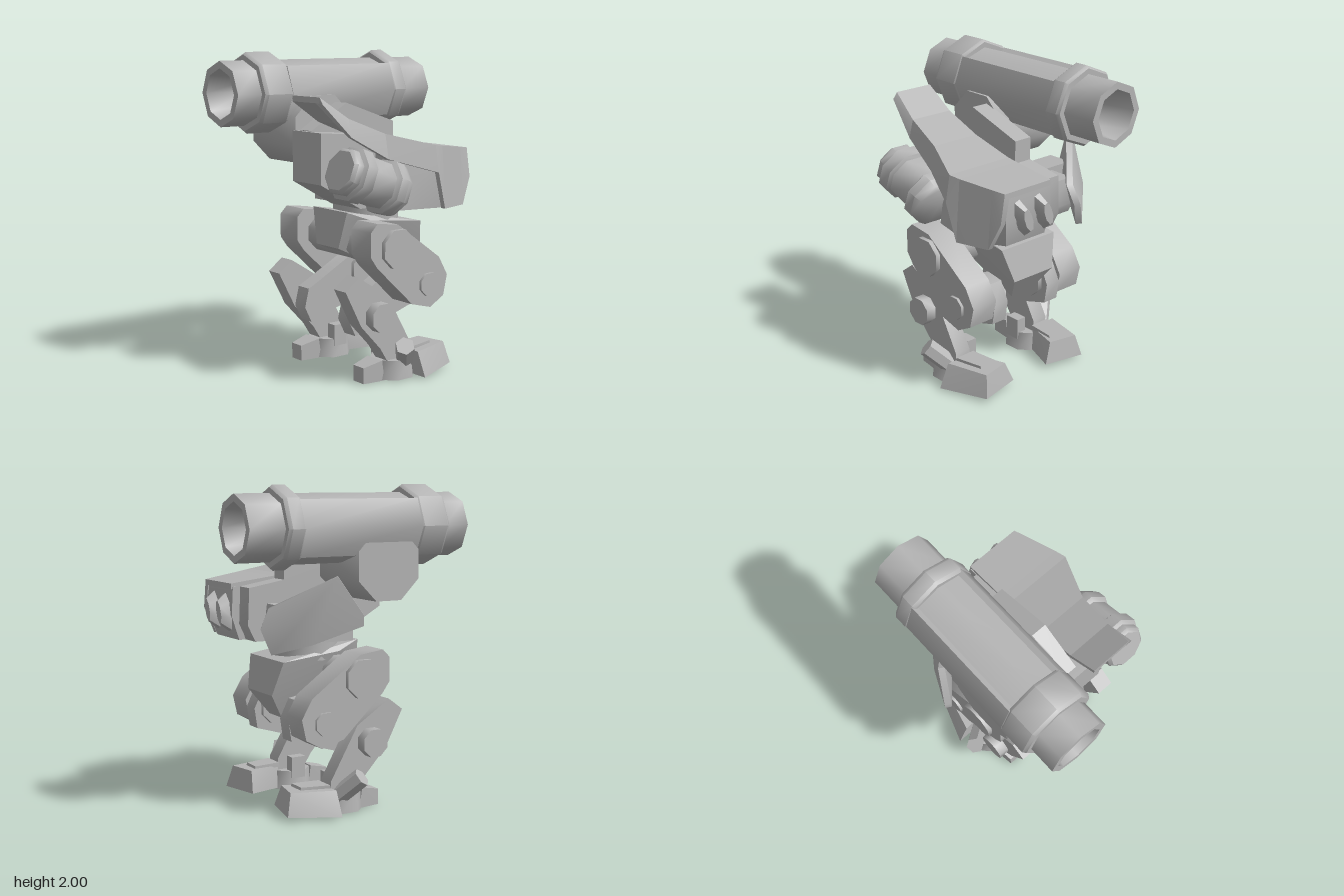
import * as THREE from 'three';
import { ConvexGeometry } from 'three/addons/geometries/ConvexGeometry.js';
import { toCreasedNormals } from 'three/addons/utils/BufferGeometryUtils.js';

export function createModel() {
  const root = new THREE.Group();
  const grey = new THREE.MeshStandardMaterial({ color: 0xb4b4b4 });
  grey.name = 'grey metal';

  // Mesh with soft octagon sides and sharp corners
  function add(parent, name, geo) {
    const m = new THREE.Mesh(toCreasedNormals(geo, 0.8), grey);
    m.name = name;
    parent.add(m);
    return m;
  }
  function group(parent, name) {
    const g = new THREE.Group();
    g.name = name;
    parent.add(g);
    return g;
  }
  const shape = (pts) => new THREE.Shape(pts.map(([a, b]) => new THREE.Vector2(a, b)));
  // Side profile of [z, y] points, extruded between two x values
  function slab(pts, xa, xb) {
    const lo = Math.min(xa, xb), hi = Math.max(xa, xb);
    const g = new THREE.ExtrudeGeometry(shape(pts), { depth: hi - lo, bevelEnabled: false });
    return g.rotateY(-Math.PI / 2).translate(hi, 0, 0);
  }
  // Flat-topped octagonal pin along x
  function pin(xa, xb, y, z, r) {
    const g = new THREE.CylinderGeometry(r, r, Math.abs(xb - xa), 8).rotateY(Math.PI / 8);
    return g.rotateZ(Math.PI / 2).translate((xa + xb) / 2, y, z);
  }
  const hull = (pts) => new ConvexGeometry(pts.map((p) => new THREE.Vector3(...p)));
  const mirror = (pts) => pts.flatMap(([x, y, z]) => [[x, y, z], [-x, y, z]]);
  const box = (x0, x1, y0, y1, z0, z1) => new THREE.BoxGeometry(x1 - x0, y1 - y0, z1 - z0)
    .translate((x0 + x1) / 2, (y0 + y1) / 2, (z0 + z1) / 2);
  const lathe = (pts, n) => new THREE.LatheGeometry(pts.map(([r, y]) => new THREE.Vector2(r, y)), n);

  // Shoulder cannon: hollow octagonal ends with collars, and a panelled middle
  const cannon = group(root, 'cannon');
  cannon.position.set(-0.295, 1.75, 0);
  add(cannon, 'rearBarrel', lathe([
    [0, -0.5], [0.11, -0.5], [0.155, -0.76], [0.2, -0.76], [0.2, -0.53], [0.235, -0.53],
    [0.25, -0.51], [0.25, -0.43], [0.235, -0.41], [0, -0.41]], 8).rotateX(Math.PI / 2));
  add(cannon, 'frontBarrel', lathe([
    [0, 0.38], [0.235, 0.38], [0.25, 0.4], [0.25, 0.57], [0.235, 0.59], [0.2, 0.59],
    [0.2, 0.76], [0.155, 0.76], [0.11, 0.5], [0, 0.5]], 8).rotateX(Math.PI / 2));
  add(cannon, 'cannonBody', new THREE.ExtrudeGeometry(shape([
    [0.245, 0], [0.18, 0.168], [0.15, 0.15], [0, 0.2], [-0.15, 0.15], [-0.18, 0.168],
    [-0.245, 0], [-0.172, -0.168], [0, -0.22], [0.172, -0.168]]),
  { depth: 0.82, bevelEnabled: false }).translate(0, 0, -0.43));
  add(root, 'cannonMount', pin(-0.5, -0.04, 1.52, 0.17, 0.232));

  // Torso
  const torso = group(root, 'torso');
  add(torso, 'core', slab([
    [0.4, 1.53], [0.4, 1.22], [0.1, 1.05], [-0.5, 1.05], [-0.55, 1.15], [-0.54, 1.38],
    [-0.3, 1.42], [0, 1.5]], -0.05, 0.235));
  add(torso, 'coreFin', slab([
    [0.35, 1.53], [0.08, 1.69], [-0.3, 1.56], [-0.3, 1.3], [0.3, 1.3]], -0.05, 0.075));
  add(torso, 'rightHull', slab([
    [0.05, 1.24], [0.05, 1.05], [-0.4, 1.05], [-0.44, 1.12], [-0.42, 1.28], [-0.2, 1.28]], -0.29, -0.05));
  add(torso, 'leftHull', hull([
    [0.2, 1.05, -0.02], [0.43, 1.05, -0.02], [0.2, 1.38, -0.02], [0.38, 1.38, -0.02],
    [0.5, 1.05, -0.32], [0.5, 1.38, -0.32], [0.07, 1.05, -0.55], [0.38, 1.05, -0.55],
    [0.07, 1.2, -0.6], [0.43, 1.22, -0.6], [0.07, 1.38, -0.59], [0.42, 1.38, -0.59], [0.07, 1.38, -0.3]]));
  for (const x of [0.14, 0.3]) {
    add(torso, 'exhaust', new THREE.CylinderGeometry(0.045, 0.075, 0.06, 8).rotateY(Math.PI / 8)
      .rotateX(-Math.PI / 2).scale(0.7, 1.7, 1).rotateZ(-0.35).translate(x, 1.22, -0.625));
  }

  // Left shoulder armour: stations of z, top y, outer x, lower y
  const armour = group(torso, 'leftArmour');
  const st = [[0.49, 1.75, 0.34, 1.71], [0.3, 1.62, 0.37, 1.51], [0.05, 1.52, 0.41, 1.37],
    [-0.24, 1.445, 0.54, 1.28], [-0.31, 1.435, 0.525, 1.05], [-0.52, 1.41, 0.465, 1.05],
    [-0.6, 1.4, 0.44, 1.22]];
  const t = 0.035;
  for (let i = 0; i + 1 < st.length; i++) {
    const pair = [st[i], st[i + 1]];
    add(armour, 'armourRoof', hull(pair.flatMap(([z, y, x]) =>
      [[0.075, y, z], [x, y, z], [0.075, y - t, z], [x, y - t, z]])));
    add(armour, 'armourWall', hull(pair.flatMap(([z, y, x, b]) =>
      [[x, y, z], [x - t, y - t, z], [x + 0.03, b, z], [x + 0.03 - t, b, z]])));
  }

  // Right rear skirt: one tall slanted plate on a bracket
  const skirt = group(torso, 'rightSkirt');
  const plate = [[-0.22, 1.27, -0.5], [-0.23, 1.15, -0.56], [-0.29, 1, -0.52], [-0.47, 1.07, -0.34],
    [-0.42, 1.2, -0.4], [-0.6, 1.18, -0.07], [-0.6, 1.24, -0.07], [-0.52, 1.47, -0.2]];
  add(skirt, 'skirtPlate', hull(plate.flatMap(([x, y, z]) => [[x, y, z], [x + 0.035, y, z + 0.02]])));
  add(skirt, 'skirtBracket', box(-0.45, -0.2, 1.18, 1.3, -0.25, -0.08));

  // Left arm pod, tilted nose up
  const pod = add(root, 'armPod', lathe([
    [0, -0.235], [0.13, -0.235], [0.155, -0.215], [0.175, -0.17], [0.175, -0.11], [0.148, -0.09],
    [0.148, 0.07], [0.17, 0.085], [0.17, 0.16], [0.145, 0.175], [0.145, 0.215], [0.125, 0.235],
    [0, 0.235]], 8).rotateY(Math.PI / 8).rotateX(Math.PI / 2));
  pod.position.set(0.435, 1.25, 0.2);
  pod.rotation.x = -0.36;
  add(root, 'podMount', pin(0.2, 0.43, 1.25, 0.16, 0.09));

  // Lower body: waist, pelvis and hip axle, set slightly to the left
  const lower = group(root, 'lowerBody');
  lower.position.x = 0.035;
  add(lower, 'waist', new THREE.CylinderGeometry(0.21, 0.21, 0.14, 12).translate(0, 0.99, -0.11));
  add(lower, 'pelvis', hull(mirror([
    [0.17, 1.03, 0.18], [0.11, 0.8, 0.2], [0.21, 0.97, 0.02], [0.22, 0.93, -0.38],
    [0.16, 0.72, -0.43], [0.08, 0.56, -0.32]])));
  add(lower, 'hipAxle', pin(-0.4, 0.4, 0.835, 0.03, 0.12));

  // Legs
  for (const s of [1, -1]) {
    const leg = group(lower, s > 0 ? 'leftLeg' : 'rightLeg');
    const part = (name, pts, a, b) => add(leg, name, slab(pts, s * a, s * b));
    const joint = (name, a, b, y, z, r) => add(leg, name, pin(s * a, s * b, y, z, r));
    const block = (name, pts) => add(leg, name, hull(pts.map(([x, y, z]) => [s * x, y, z])));
    part('thigh', [[0.23, 0.95], [0.18, 1], [0.02, 0.98], [-0.32, 0.74], [-0.39, 0.62],
      [-0.36, 0.49], [-0.25, 0.43], [-0.1, 0.47], [0.18, 0.73], [0.23, 0.8]], 0.275, 0.46);
    joint('hipCap', 0.45, 0.49, 0.835, 0.03, 0.125);
    joint('kneeAxle', 0.14, 0.4, 0.58, -0.23, 0.11);
    joint('kneeCap', 0.45, 0.478, 0.58, -0.23, 0.075);
    part('middleLink', [[0.22, 0.5], [0.12, 0.55], [-0.2, 0.72], [-0.32, 0.7], [-0.38, 0.58],
      [-0.36, 0.45], [-0.06, 0.36], [0.2, 0.28], [0.25, 0.38]], 0.17, 0.278);
    joint('ankleAxle', 0.2, 0.4, 0.42, 0.13, 0.085);
    joint('ankleCap', 0.39, 0.465, 0.42, 0.13, 0.092);
    part('shin', [[0.37, 0.6], [0.27, 0.675], [0.04, 0.53], [-0.15, 0.2], [-0.15, 0.1],
      [0.03, 0.1], [0.1, 0.21], [0.25, 0.37]], 0.283, 0.395);

    // Foot: round pad, front toe, heel turned outwards and outer piston
    add(leg, 'footPad', new THREE.CylinderGeometry(0.135, 0.15, 0.12, 8).rotateY(Math.PI / 8)
      .translate(s * 0.32, 0.065, -0.05));
    block('toe', [[0.27, 0, 0.21], [0.37, 0, 0.21], [0.27, 0.1, 0.21], [0.37, 0.1, 0.21],
      [0.25, 0, 0.06], [0.39, 0, 0.06], [0.25, 0.13, 0.08], [0.39, 0.13, 0.08]]);
    block('heel', [[0.26, 0.01, -0.15], [0.53, 0.01, -0.15], [0.27, 0.16, -0.16], [0.46, 0.16, -0.15],
      [0.145, 0.03, -0.41], [0.42, 0.025, -0.465], [0.2, 0.165, -0.39], [0.39, 0.165, -0.43]]);
    block('heelCap', [[0.24, 0.15, -0.35], [0.36, 0.15, -0.35], [0.24, 0.18, -0.34], [0.36, 0.18, -0.34],
      [0.26, 0.15, -0.15], [0.4, 0.15, -0.15], [0.26, 0.18, -0.16], [0.4, 0.18, -0.16]]);
    block('ankleLug', mirror([[0.035, 0.08, 0], [0.035, 0.22, 0], [0.035, 0.08, -0.1], [0.035, 0.22, -0.1]])
      .map(([x, y, z]) => [x + 0.22, y, z]));
    const a = new THREE.Vector3(s * 0.39, 0.1, -0.1), b = new THREE.Vector3(s * 0.51, 0.235, 0);
    const dir = b.clone().sub(a);
    const piston = add(leg, 'piston', new THREE.CylinderGeometry(0.06, 0.06, dir.length(), 6));
    piston.position.copy(a).add(b).multiplyScalar(0.5);
    piston.quaternion.setFromUnitVectors(new THREE.Vector3(0, 1, 0), dir.normalize());
  }
  return root;
}
